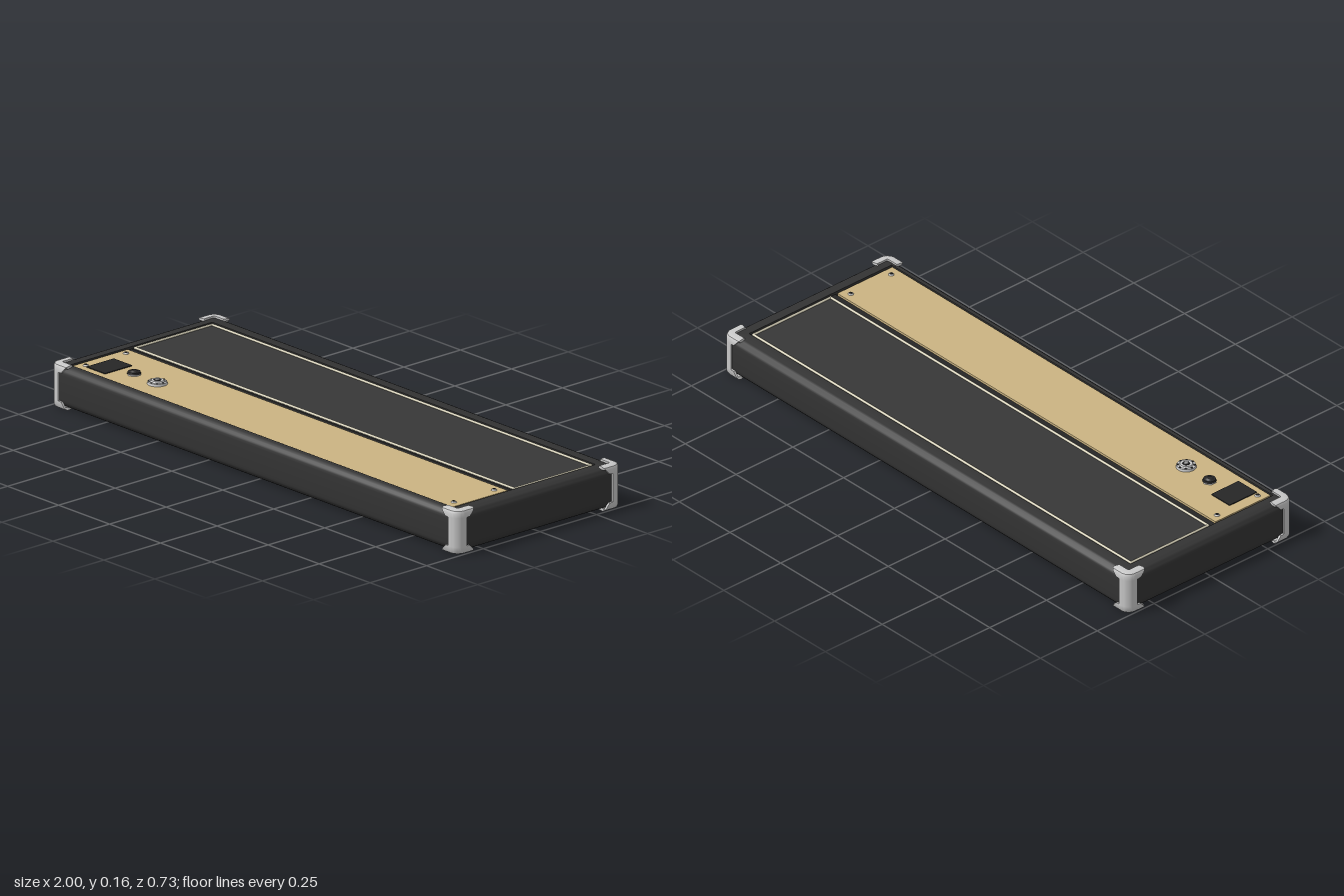
import * as THREE from 'three';
import { toCreasedNormals } from 'three/addons/utils/BufferGeometryUtils.js';

const mat = (name, color, side = THREE.FrontSide) => {
  const m = new THREE.MeshStandardMaterial({ color, side });
  m.name = name;
  return m;
};

// Skin a list of equally long point rows into a surface
function skin(rows, closed) {
  const n = rows[0].length, index = [];
  for (let i = 0; i < rows.length - 1; i++) {
    for (let j = 0; j < (closed ? n : n - 1); j++) {
      const k = (j + 1) % n, a = i * n + j, b = i * n + k, c = a + n, d = b + n;
      index.push(a, c, b, b, c, d);
    }
  }
  const g = new THREE.BufferGeometry();
  g.setAttribute('position', new THREE.Float32BufferAttribute(rows.flat(2), 3));
  g.setIndex(index);
  return toCreasedNormals(g, 0.6);
}

// Rounded rectangle ring at height y
function ring(x, zBack, zFront, r, y) {
  const pts = [];
  const corners = [[x - r, zFront - r], [-x + r, zFront - r], [-x + r, zBack + r], [x - r, zBack + r]];
  corners.forEach(([cx, cz], q) => {
    for (let i = 0; i <= 6; i++) {
      const a = (q + i / 6) * Math.PI / 2;
      pts.push([cx + r * Math.cos(a), y, cz + r * Math.sin(a)]);
    }
  });
  return pts;
}

// Cabinet shell: underside, rounded walls, rim and recess
function cabinetGeometry() {
  const X = 0.994, Z = 0.36, R = 0.03, low = 0.003, top = 0.147, rows = [];
  const inset = (d, y) => rows.push(ring(X - d, -Z + d, Z - d, Math.max(0.035 - d, 0.002), y));
  inset(Z - 0.003, low);
  for (let i = 0; i <= 6; i++) {
    const a = i / 6 * Math.PI / 2;
    inset(R * (1 - Math.sin(a)), low + R * (1 - Math.cos(a)));
  }
  for (let i = 0; i <= 6; i++) {
    const a = i / 6 * Math.PI / 2;
    inset(R * (1 - Math.cos(a)), top - R * (1 - Math.sin(a)));
  }
  rows.push(ring(0.94, -0.3, 0.327, 0.002, top), ring(0.94, -0.3, 0.327, 0.002, 0.12));
  return skin(rows, true);
}

// Metal corner guard; local origin is the outer corner, arms run along -x and -z
function cornerGeometry() {
  const R = 0.036, H = 0.153, e = 0.012;
  // inset, height, arm length
  const half = [[0.03, 0, 0.076], [0.012, 0, 0.08], [0.004, 0.003, 0.078], [0, 0.01, 0.072],
    [0, 0.026, 0.058], [0, 0.027, 0.044]];
  const profile = [...half, ...half.map(([d, y, l]) => [d, H - y, l]).reverse()];
  const row = ([d, y, len], tuck) => {
    const r = Math.max(R - d, 0.006), c = -d - r, pts = [];
    const toMid = Math.sign(H / 2 - y) * 0.008;
    const wall = d < 0.003;
    const end = [d + 0.008, wall ? y : y + toMid];
    if (tuck) y += toMid;
    pts.push([-len, end[1], -end[0]], [-len, y, -d]);
    for (let i = 0; i <= 8; i++) {
      const a = Math.PI / 2 * (1 - i / 8);
      pts.push([c + r * Math.cos(a), y, c + r * Math.sin(a)]);
    }
    pts.push([-d, y, -len], [-end[0], end[1], -len]);
    return pts;
  };
  const rows = profile.map(p => row(p, false));
  rows.unshift(row(profile[0], true));
  rows.push(row(profile[profile.length - 1], true));
  return skin(rows, false);
}

export function createModel() {
  const model = new THREE.Group();
  model.name = 'amplifierCabinet';
  const black = mat('black covering', 0x333333, THREE.DoubleSide);
  const cloth = mat('grille cloth', 0x373737);
  const dark = mat('dark plastic', 0x262626);
  const gold = mat('gold plate', 0xcbb482);
  const silver = mat('silver metal', 0xc9c9c9, THREE.DoubleSide);
  const cream = mat('cream piping', 0xd6d0b8);

  const add = (name, geo, material, x = 0, y = 0, z = 0, parent = model) => {
    const m = new THREE.Mesh(geo, material);
    m.name = name;
    m.position.set(x, y, z);
    parent.add(m);
    return m;
  };
  const box = (name, material, x0, x1, y0, y1, z0, z1) => add(name,
    new THREE.BoxGeometry(x1 - x0, y1 - y0, z1 - z0), material, (x0 + x1) / 2, (y0 + y1) / 2, (z0 + z1) / 2);
  const disc = (name, material, r0, r1, y0, y1, x, z, sides = 24) => add(name,
    new THREE.CylinderGeometry(r1, r0, y1 - y0, sides), material, x, (y0 + y1) / 2, z);

  // Cabinet and recessed contents
  add('cabinet', cabinetGeometry(), black);
  box('recessFloor', dark, -0.94, 0.94, 0.11, 0.122, -0.3, 0.327);
  box('grille', cloth, -0.935, 0.935, 0.122, 0.141, -0.295, 0.055);
  box('dividerBar', dark, -0.94, 0.94, 0.122, 0.138, 0.056, 0.08);
  box('controlPanel', gold, -0.932, 0.932, 0.122, 0.145, 0.081, 0.323);

  // Piping round the grille
  const px = 0.93, pr = 0.0045, py = 0.143;
  for (const z of [-0.29, 0.05]) {
    add('pipingLong', new THREE.CylinderGeometry(pr, pr, px * 2, 8), cream, 0, py, z).rotation.z = Math.PI / 2;
  }
  for (const x of [-px, px]) {
    add('pipingShort', new THREE.CylinderGeometry(pr, pr, 0.34, 8), cream, x, py, -0.12).rotation.x = Math.PI / 2;
    for (const z of [-0.29, 0.05]) add('pipingCorner', new THREE.SphereGeometry(pr, 8, 6), cream, x, py, z);
  }

  // Panel screws
  for (const x of [-0.905, 0.9]) {
    for (const z of [0.112, 0.29]) {
      disc('screw', silver, 0.01, 0.007, 0.145, 0.149, x, z, 16);
      disc('screwRecess', dark, 0.006, 0.005, 0.149, 0.1505, x, z, 6);
    }
  }

  // Power socket
  box('powerSocket', dark, -0.89, -0.8, 0.14, 0.148, 0.18, 0.3);

  // Switch
  disc('switchNut', silver, 0.024, 0.023, 0.145, 0.149, -0.735, 0.23, 6);
  disc('switchBody', dark, 0.023, 0.021, 0.149, 0.156, -0.735, 0.23);
  disc('switchCap', dark, 0.015, 0.009, 0.156, 0.16, -0.735, 0.23);

  // Jack with a ring of notches
  const jx = -0.617, jz = 0.233;
  disc('jackWasher', silver, 0.034, 0.032, 0.145, 0.153, jx, jz, 32);
  disc('jackNut', silver, 0.024, 0.021, 0.153, 0.158, jx, jz, 32);
  disc('jackHole', dark, 0.013, 0.012, 0.158, 0.1595, jx, jz);
  disc('jackTip', silver, 0.008, 0.006, 0.159, 0.162, jx, jz, 16);
  for (let i = 0; i < 8; i++) {
    const a = i * Math.PI / 4;
    disc('jackNotch', dark, 0.004, 0.004, 0.152, 0.1545, jx + 0.028 * Math.cos(a), jz + 0.028 * Math.sin(a), 8);
  }

  // Corner guards
  const guard = cornerGeometry();
  [[1, 1, 0], [1, -1, 1], [-1, -1, 2], [-1, 1, 3]].forEach(([sx, sz, q]) => {
    add('cornerGuard', guard, silver, sx, 0, sz * 0.366).rotation.y = q * Math.PI / 2;
  });
  return model;
}
